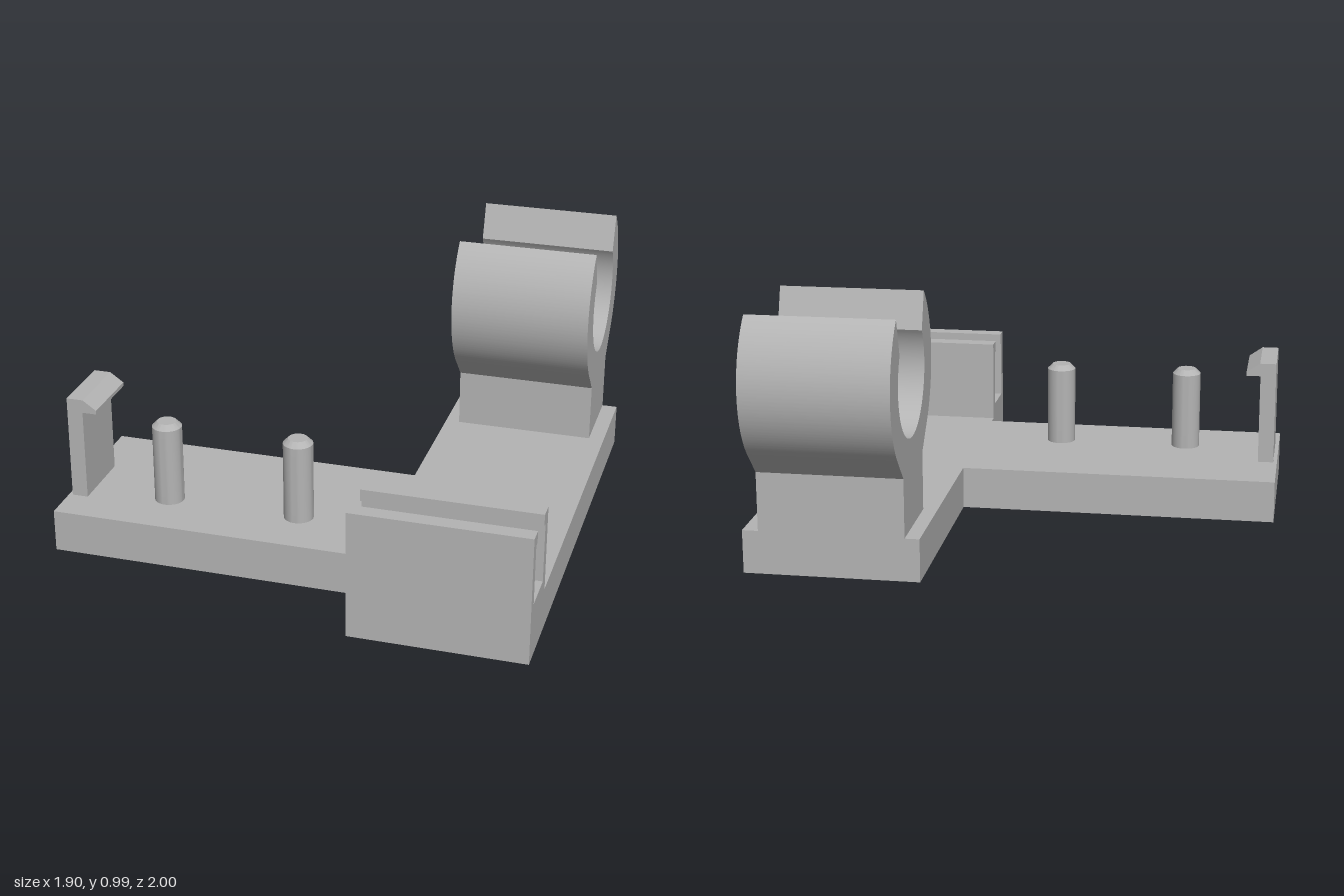
import * as THREE from 'three';
import { toCreasedNormals } from 'three/addons/utils/BufferGeometryUtils.js';

const BASE_TOP = 0.165;

function shapeOf(points) {
  return new THREE.Shape(points.map(([x, y]) => new THREE.Vector2(x, y)));
}

function extrude(shape, depth) {
  return new THREE.ExtrudeGeometry(shape, { depth, bevelEnabled: false, curveSegments: 48 });
}

// Extrudes a profile drawn in (-z, y) along x, from x0 to x1.
function extrudeAlongX(shape, x0, x1) {
  return extrude(shape, x1 - x0).rotateY(Math.PI / 2).translate(x0, 0, 0);
}

export function createModel() {
  const group = new THREE.Group();
  const grey = new THREE.MeshStandardMaterial({ color: 0xb4b4b4 });
  grey.name = 'grey plastic';

  const add = (name, geometry) => {
    const mesh = new THREE.Mesh(toCreasedNormals(geometry, 0.5), grey);
    mesh.name = name;
    group.add(mesh);
    return mesh;
  };

  // T-shaped base plate, drawn in (x, -z) and laid flat
  const plate = shapeOf([
    [-0.95, -0.715], [0.29, -0.715], [0.29, -1], [0.95, -1],
    [0.95, 0.81], [0.29, 0.81], [0.29, -0.04], [-0.95, -0.04],
  ]);
  add('basePlate', extrude(plate, BASE_TOP).rotateX(-Math.PI / 2));

  // Front channel with inward lips along the top of both walls
  const channel = shapeOf([
    [-1, BASE_TOP], [-0.757, BASE_TOP], [-0.757, 0.495], [-0.82, 0.495],
    [-0.82, 0.45], [-0.8, 0.45], [-0.8, 0.22], [-0.96, 0.22],
    [-0.96, 0.45], [-0.94, 0.45], [-0.94, 0.495], [-1, 0.495],
  ]);
  add('slottedChannel', extrudeAlongX(channel, 0.29, 0.95));

  // Open round clip on its flared stem
  const cu = 0.645, cy = 0.727, outer = 0.353, inner = 0.226;
  const flare = 0.82, tipOut = 0.842, tipIn = 0.575;
  const clip = new THREE.Shape();
  clip.moveTo(0.48, BASE_TOP);
  clip.lineTo(0.81, BASE_TOP);
  clip.lineTo(0.81, 0.39);
  clip.absarc(cu, cy, outer, -flare, tipOut, false);
  clip.absarc(cu, cy, inner, tipIn, Math.PI - tipIn, true);
  clip.absarc(cu, cy, outer, Math.PI - tipOut, Math.PI + flare, false);
  clip.lineTo(0.48, 0.39);
  clip.closePath();
  add('roundClip', extrudeAlongX(clip, 0.345, 0.89));

  // Locating pins with chamfered tips
  const pinProfile = [[0.057, BASE_TOP], [0.057, 0.475], [0.037, 0.495], [0, 0.495]]
    .map(([r, y]) => new THREE.Vector2(r, y));
  for (const [name, x] of [['rightPin', -0.565], ['leftPin', -0.045]]) {
    add(name, new THREE.LatheGeometry(pinProfile, 40)).position.set(x, 0, 0.49);
  }

  // Snap hook, drawn in (x, y)
  const hook = shapeOf([
    [-0.935, BASE_TOP], [-0.873, BASE_TOP], [-0.873, 0.523],
    [-0.817, 0.523], [-0.817, 0.538], [-0.87, 0.575], [-0.935, 0.575],
  ]);
  add('snapHook', extrude(hook, 0.27).translate(0, 0, 0.3));

  return group;
}
